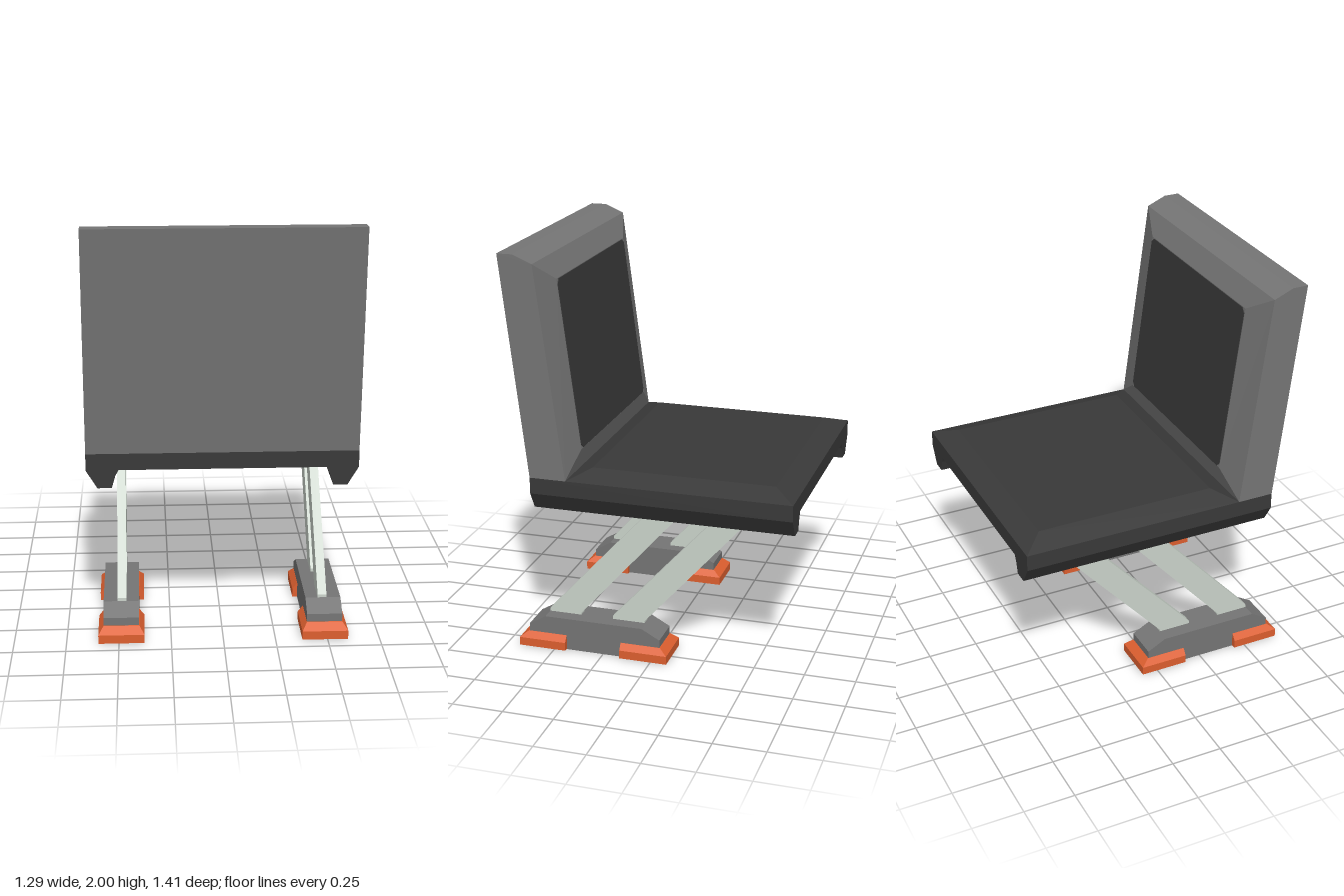
import * as THREE from 'three';

const material = (name, color) => {
  const m = new THREE.MeshStandardMaterial({ color });
  m.name = name;
  return m;
};

// Closed faceted solid joining convex cross-sections, each a loop of [x, y, z]
function loft(rings) {
  const n = rings[0].length;
  const tris = [];
  for (let r = 0; r < rings.length - 1; r++) {
    for (let i = 0; i < n; i++) {
      const j = (i + 1) % n;
      const [a, b, c, d] = [rings[r][i], rings[r][j], rings[r + 1][j], rings[r + 1][i]];
      tris.push([a, b, c], [a, c, d]);
    }
  }
  const first = rings[0], last = rings[rings.length - 1];
  for (let i = 1; i < n - 1; i++) {
    tris.push([first[0], first[i + 1], first[i]], [last[0], last[i], last[i + 1]]);
  }
  // Turn every face outward by checking the signed volume
  let volume = 0;
  const [a, b, c] = [0, 1, 2].map(() => new THREE.Vector3());
  for (const t of tris) volume += a.set(...t[0]).dot(b.set(...t[1]).cross(c.set(...t[2])));
  if (volume < 0) tris.forEach((t) => t.reverse());
  const geo = new THREE.BufferGeometry();
  geo.setAttribute('position', new THREE.Float32BufferAttribute(tris.flat(2), 3));
  geo.computeVertexNormals();
  return geo;
}

// Side profile of [z, y] points carried across x
const across = (profile, x0, x1) =>
  loft([x0, x1].map((x) => profile.map(([z, y]) => [x, y, z])));

// Level rectangle used as a cross-section
const level = (x0, x1, z0, z1, y) => [[x0, y, z0], [x1, y, z0], [x1, y, z1], [x0, y, z1]];

export function createModel() {
  const dark = material('dark upholstery', 0x393939);
  const grey = material('grey shell', 0x757575);
  const pale = material('pale metal', 0xcbd4cb);
  const orange = material('orange rubber', 0xdd5f2f);

  const model = new THREE.Group();
  model.name = 'chair';
  const add = (parent, name, geo, mat) => {
    const mesh = new THREE.Mesh(geo, mat);
    mesh.name = name;
    parent.add(mesh);
  };

  // Seat slab with a bevelled cushion
  const W = 0.643;
  add(model, 'seatSlab', loft([level(-W, W, -0.707, 0.58, 0.84), level(-W, W, -0.707, 0.58, 0.92)]), dark);
  add(model, 'seatCushion', loft([level(-W, W, -0.707, 0.4, 0.92), level(-0.53, 0.53, -0.6, 0.3, 0.962)]), dark);

  // Leaning backrest shell
  add(model, 'backrestShell',
    across([[0.707, 2], [0.63, 2], [0.535, 1.96], [0.4, 0.92], [0.58, 0.92]], -W, W), grey);

  // Raised bevel on the sitting side, and its dark pad with clipped corners
  const slanted = (w, zTop, yTop, zLow, yLow) =>
    [[-w, yLow, zLow], [w, yLow, zLow], [w, yTop, zTop], [-w, yTop, zTop]];
  add(model, 'backrestBevel',
    loft([slanted(W, 0.535, 1.96, 0.4, 0.92), slanted(0.48, 0.48, 1.86, 0.375, 1.03)]), grey);
  const pad = (lift) => {
    const w = 0.477, k = 0.02, yLow = 1.033, yTop = 1.857;
    return [[-w + k, yLow], [w - k, yLow], [w, yLow + k], [w, yTop - k],
      [w - k, yTop], [-w + k, yTop], [-w, yTop - k], [-w, yLow + k]]
      .map(([x, y]) => [x, y, 0.375 + (y - 1.03) * 0.1265 - lift]);
  };
  add(model, 'backrestPad', loft([pad(0), pad(0.003)]), dark);

  for (const [side, s] of [['left', 1], ['right', -1]]) {
    const support = new THREE.Group();
    support.name = `${side}Support`;
    model.add(support);

    // Tapered rail under the seat edge
    const rail = [[W, 0.84], [0.59, 0.752], [0.522, 0.752], [0.505, 0.81], [0.49, 0.84]];
    add(support, 'seatRail', loft([-0.707, 0.58].map((z) => rail.map(([x, y]) => [s * x, y, z]))), dark);

    // Two parallel slanted legs, each with a short upright end in the foot
    for (const [name, z] of [['rearLeg', 0.55], ['frontLeg', 0.22]]) {
      add(support, name,
        across([[z, 0.15], [z, 0.18], [z - 0.59, 0.83], [z - 0.745, 0.83], [z - 0.165, 0.175], [z - 0.165, 0.15]],
          s * 0.462, s * 0.505), pale);
    }

    // Foot block
    add(support, 'foot',
      across([[0.635, 0], [0.635, 0.115], [0.55, 0.165], [0.05, 0.165], [-0.042, 0.115], [-0.042, 0]],
        s * 0.403, s * 0.573), grey);

    // Rubber caps on both foot ends, bevelled on the outer edges
    for (const [name, inner, outer, top] of [['rearCap', 0.44, 0.68, 0.64], ['frontCap', 0.157, -0.083, -0.045]]) {
      add(support, name, loft([
        level(s * 0.378, s * 0.598, inner, outer, 0.003),
        level(s * 0.378, s * 0.598, inner, outer, 0.045),
        level(s * 0.402, s * 0.574, inner, top, 0.076),
      ]), orange);
    }
  }
  return model;
}
